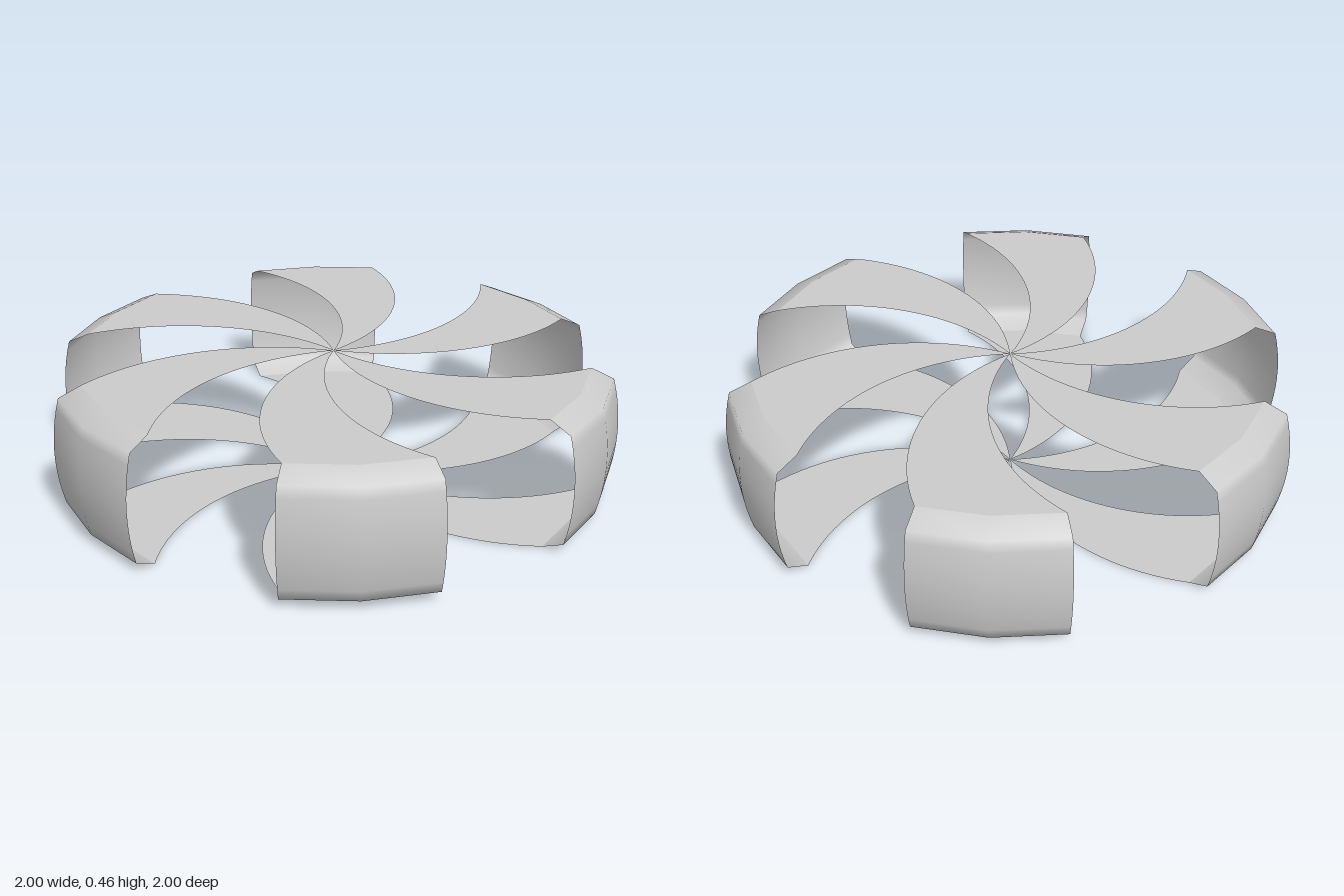
import * as THREE from 'three';

const HEIGHT = 0.46, BLADES = 6, INNER = 0.895, SPAN = Math.PI / 6;

// Point on the plan, angle measured clockwise from the back
const polar = (r, a) => new THREE.Vector2(r * Math.sin(a), r * Math.cos(a));

// Circular arc from the hub to the rim, bulging clockwise, turned by an angle
function spiralEdge(turn, bulge = 0.148, steps = 24) {
  const half = INNER / 2;
  const radius = (half * half + bulge * bulge) / (2 * bulge);
  const sweep = Math.asin(half / radius);
  const pts = [];
  for (let i = 0; i <= steps; i++) {
    const t = -sweep + (2 * sweep * i) / steps;
    const p = new THREE.Vector2(radius * Math.cos(t) - (radius - bulge), half + radius * Math.sin(t));
    pts.push(p.rotateAround(new THREE.Vector2(), -turn));
  }
  return pts;
}

// Flat curved vane between two spiral edges
function vaneGeometry() {
  const near = spiralEdge(0), far = spiralEdge(SPAN).reverse();
  far.pop(); // hub point is shared
  const shape = new THREE.Shape([...near, polar(INNER, SPAN / 2), ...far]);
  return new THREE.ShapeGeometry(shape).rotateX(-Math.PI / 2);
}

// Outer panel: bowed face with a bevel at top and bottom, two facets around
function panelGeometry() {
  const profile = [new THREE.Vector2(INNER, 0)];
  const n = 10, y0 = 0.035;
  for (let i = 0; i <= n; i++) {
    const u = (2 * i) / n - 1;
    profile.push(new THREE.Vector2(1 - 0.027 * u * u, HEIGHT / 2 + u * (HEIGHT / 2 - y0)));
  }
  profile.push(new THREE.Vector2(INNER, HEIGHT));
  return new THREE.LatheGeometry(profile, 2, Math.PI - SPAN, SPAN);
}

export function createModel() {
  const model = new THREE.Group();
  model.name = 'spiralWheel';
  const material = new THREE.MeshStandardMaterial({ color: 0xcccccc, side: THREE.DoubleSide });
  const vane = vaneGeometry(), panel = panelGeometry();

  for (let k = 0; k < BLADES; k++) {
    const blade = new THREE.Group();
    blade.name = `blade${k + 1}`;
    const add = (name, geometry, y) => {
      const mesh = new THREE.Mesh(geometry, material);
      mesh.name = name;
      mesh.position.y = y;
      blade.add(mesh);
    };
    add('lowerVane', vane, 0);
    add('upperVane', vane, HEIGHT);
    add('outerPanel', panel, 0);
    blade.rotation.y = (k * 2 * Math.PI) / BLADES;
    model.add(blade);
  }
  return model;
}
